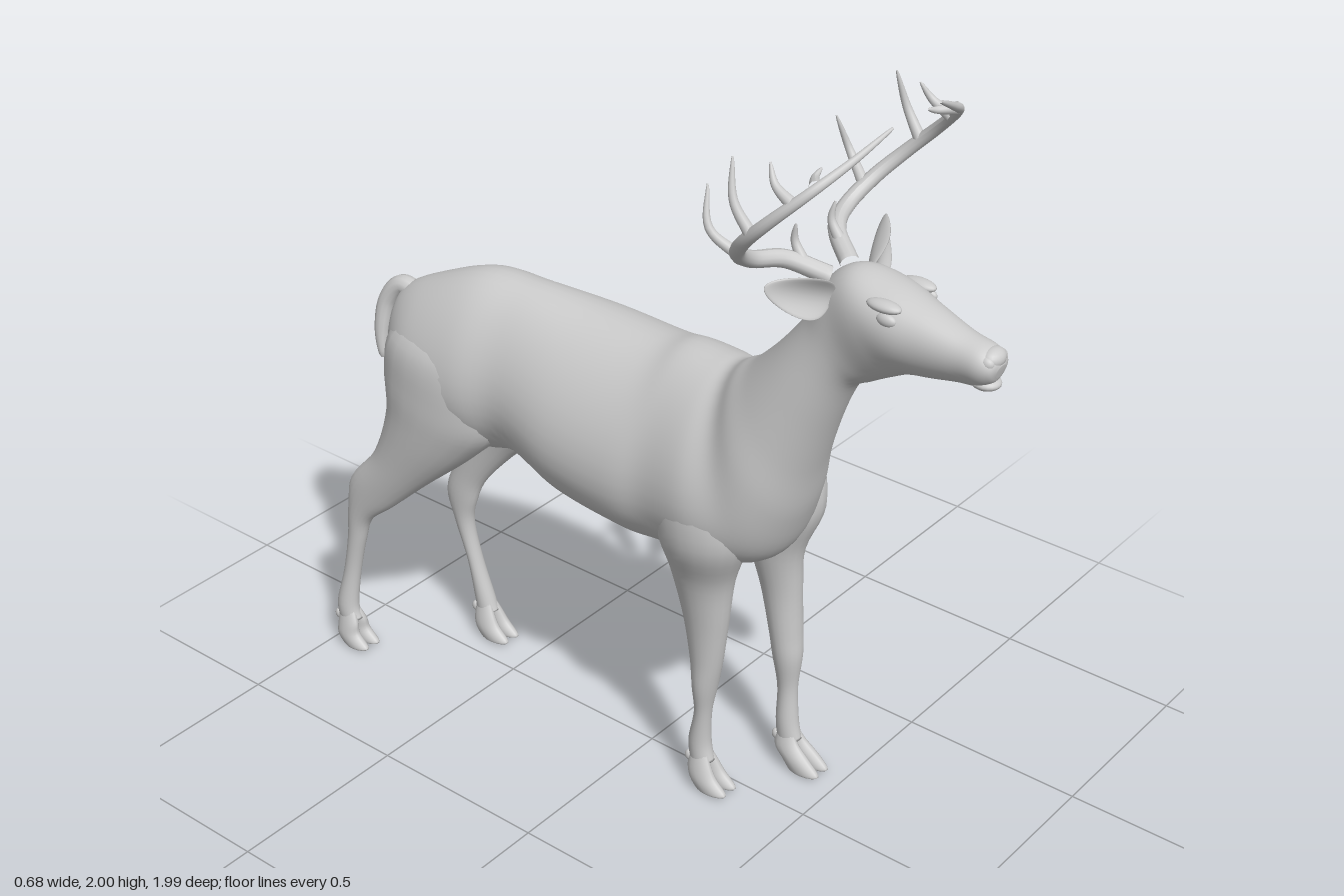
import * as THREE from 'three';

const material = new THREE.MeshStandardMaterial({ color: 0xcccccc, roughness: 0.8 });

function add(parent, name, geometry) {
  const mesh = new THREE.Mesh(geometry, material);
  mesh.name = name;
  parent.add(mesh);
  return mesh;
}

// Catmull-Rom value between rows b and c
function cubic(a, b, c, d, t) {
  return b + 0.5 * t * (c - a + t * (2 * a - 5 * b + 4 * c - d + t * (3 * (b - c) + d - a)));
}

// Smooth skin through oval sections. Each row: zA, yA, zB, yB (ends of the oval in
// the side plane), x centre, half width. egg(z) narrows the A side of the oval.
function loft(rows, { steps = 5, sides = 28, egg = () => 0 } = {}) {
  const sections = [];
  for (let i = 0; i < rows.length - 1; i++) {
    const [p, q, r, s] = [-1, 0, 1, 2].map(k => rows[Math.min(rows.length - 1, Math.max(0, i + k))]);
    for (let k = 0; k < steps; k++) sections.push(q.map((_, c) => cubic(p[c], q[c], r[c], s[c], k / steps)));
  }
  sections.push(rows[rows.length - 1]);

  const position = [], index = [];
  for (const [zA, yA, zB, yB, x, w] of sections) {
    const e = egg((zA + zB) / 2);
    for (let j = 0; j < sides; j++) {
      const a = (j / sides) * Math.PI * 2, s = Math.sin(a);
      position.push(x + w * Math.cos(a) * (1 - e * s),
        (yA + yB) / 2 + (s * (yA - yB)) / 2, (zA + zB) / 2 + (s * (zA - zB)) / 2);
    }
  }
  const last = sections.length - 1;
  for (let i = 0; i < last; i++) {
    for (let j = 0; j < sides; j++) {
      const k = (j + 1) % sides, a = i * sides, b = a + sides;
      index.push(a + j, a + k, b + k, a + j, b + k, b + j);
    }
  }
  // end caps
  for (const i of [0, last]) {
    const [zA, yA, zB, yB, x] = sections[i], centre = position.length / 3;
    position.push(x, (yA + yB) / 2, (zA + zB) / 2);
    for (let j = 0; j < sides; j++) {
      const a = i * sides + j, b = i * sides + ((j + 1) % sides);
      index.push(centre, ...(i ? [a, b] : [b, a]));
    }
  }
  const geometry = new THREE.BufferGeometry();
  geometry.setAttribute('position', new THREE.Float32BufferAttribute(position, 3));
  geometry.setIndex(index);
  geometry.computeVertexNormals();
  return geometry;
}

// Tube whose radius follows radius(t)
function taperedTube(points, radius, segments = 32) {
  const curve = new THREE.CatmullRomCurve3(points.map(p => new THREE.Vector3(...p)));
  const sides = 12, geometry = new THREE.TubeGeometry(curve, segments, 1, sides);
  const pos = geometry.attributes.position, v = new THREE.Vector3();
  for (let i = 0; i < pos.count; i++) {
    const t = Math.floor(i / (sides + 1)) / segments, c = curve.getPointAt(t);
    v.fromBufferAttribute(pos, i).sub(c).multiplyScalar(radius(t)).add(c);
    pos.setXYZ(i, v.x, v.y, v.z);
  }
  geometry.computeVertexNormals();
  return geometry;
}

function ellipsoid(parent, name, centre, size) {
  const mesh = add(parent, name, new THREE.SphereGeometry(1, 20, 14));
  mesh.position.set(...centre);
  mesh.scale.set(...size);
  return mesh;
}

// Leg skin plus a cloven hoof; toe and heel are z positions of the sole
function leg(parent, name, rows, toe, heel) {
  const group = new THREE.Group();
  group.name = name;
  parent.add(group);
  const [zF, , zR, , x, w] = rows[rows.length - 1];
  const pastern = [zF + 0.012, 0.085, zR + 0.006, 0.07, x, w * 0.95];
  add(group, 'limb', loft([...rows, pastern], { sides: 20 }));
  for (const s of [-1, 1]) {
    add(group, 'hoof', loft([
      [zF - 0.006, 0.12, zR + 0.01, 0.11, x + s * 0.008, 0.012],
      [zF + 0.014, 0.08, zR + 0.006, 0.06, x + s * 0.016, 0.019],
      [toe - 0.035, 0.045, heel - 0.025, 0.03, x + s * 0.02, 0.022],
      [toe, 0.014, heel - 0.005, 0.004, x + s * 0.021, 0.02],
      [toe - 0.01, 0.004, heel + 0.005, 0, x + s * 0.021, 0.015],
    ], { sides: 14 }));
    ellipsoid(group, 'dewclaw', [x + s * 0.015, 0.085, zR + 0.006], [0.009, 0.015, 0.011]);
  }
}

// Leaf-shaped ear, cupped towards the front
function ear(parent, side) {
  const geometry = new THREE.SphereGeometry(1, 24, 20);
  const pos = geometry.attributes.position;
  for (let i = 0; i < pos.count; i++) {
    const y = pos.getY(i), x = pos.getX(i) * (1 - 0.25 * y);
    pos.setXYZ(i, x * 0.048, y * 0.095, pos.getZ(i) * 0.012 + x * x * 0.03 - 0.015);
  }
  geometry.computeVertexNormals();
  const mesh = add(parent, side > 0 ? 'leftEar' : 'rightEar', geometry);
  mesh.position.set(side * 0.158 - 0.004, 1.583, 0.555);
  mesh.rotation.set(0, side * 0.4, side * -1.2, 'YXZ');
}

function antler(parent, side) {
  const group = new THREE.Group();
  group.name = side > 0 ? 'leftAntler' : 'rightAntler';
  parent.add(group);
  const flip = points => points.map(([x, y, z]) => [x * side, y, z]);
  add(group, 'beam', taperedTube(flip([
    [0.04, 1.58, 0.54], [0.1, 1.62, 0.46], [0.18, 1.64, 0.43], [0.26, 1.69, 0.45], [0.31, 1.75, 0.5],
    [0.322, 1.82, 0.57], [0.28, 1.9, 0.65], [0.19, 1.95, 0.69], [0.09, 2, 0.72],
  ]), t => 0.003 + 0.02 * Math.pow(1 - t, 0.6), 64));
  const tines = [
    [[0.07, 1.61, 0.49], [0.07, 1.655, 0.465], [0.075, 1.7, 0.47]],
    [[0.235, 1.67, 0.44], [0.265, 1.73, 0.375], [0.24, 1.82, 0.35]],
    [[0.32, 1.78, 0.53], [0.325, 1.85, 0.485], [0.305, 1.94, 0.465]],
    [[0.3, 1.87, 0.62], [0.295, 1.9, 0.57], [0.28, 1.94, 0.545]],
    [[0.27, 1.91, 0.655], [0.23, 1.91, 0.625], [0.2, 1.92, 0.62]],
  ];
  for (const tine of tines) add(group, 'tine', taperedTube(flip(tine), t => 0.002 + 0.013 * Math.pow(1 - t, 0.7), 14));
}

export function createModel() {
  const deer = new THREE.Group();
  deer.name = 'deer';

  // trunk, neck and head as one skin, from rump to muzzle
  const trunk = [
    [-0.84, 1.06, -0.83, 0.97, -0.03, 0.03],
    [-0.8, 1.125, -0.79, 0.87, -0.02, 0.1],
    [-0.7, 1.18, -0.7, 0.78, -0.01, 0.165],
    [-0.55, 1.235, -0.5, 0.75, 0.01, 0.195],
    [-0.4, 1.235, -0.37, 0.765, 0.025, 0.19],
    [-0.2, 1.22, -0.2, 0.71, 0.045, 0.235],
    [0, 1.215, 0, 0.685, 0.045, 0.238],
    [0.1, 1.235, 0.12, 0.69, 0.035, 0.218],
    [0.2, 1.237, 0.27, 0.705, 0.025, 0.22],
    [0.25, 1.24, 0.4, 0.76, 0.015, 0.19],
  ];
  const neckAndHead = [
    [0.29, 1.265, 0.47, 0.9, 0, 0.165],
    [0.34, 1.3, 0.51, 1.05, -0.01, 0.135],
    [0.42, 1.385, 0.56, 1.2, -0.015, 0.108],
    [0.49, 1.48, 0.61, 1.31, -0.015, 0.09],
    [0.53, 1.57, 0.66, 1.345, -0.015, 0.087],
    [0.6, 1.62, 0.72, 1.38, -0.017, 0.095],
    [0.7, 1.612, 0.77, 1.405, -0.02, 0.094],
    [0.8, 1.588, 0.83, 1.42, -0.03, 0.073],
    [0.9, 1.56, 0.9, 1.437, -0.037, 0.054],
    [0.96, 1.548, 0.955, 1.447, -0.04, 0.05],
    [0.99, 1.53, 0.982, 1.465, -0.04, 0.038],
    [0.998, 1.51, 0.99, 1.48, -0.04, 0.018],
  ];
  add(deer, 'body', loft([...trunk, ...neckAndHead], {
    steps: 6, sides: 40,
    egg: z => 0.2 * (1 - THREE.MathUtils.smoothstep(z, 0.25, 0.5)) - 0.12 * THREE.MathUtils.smoothstep(z, 0.55, 0.7),
  }));

  // face
  ellipsoid(deer, 'nosePad', [-0.04, 1.522, 0.972], [0.036, 0.024, 0.027]);
  ellipsoid(deer, 'lowerLip', [-0.04, 1.458, 0.96], [0.033, 0.016, 0.035]);
  for (const s of [-1, 1]) {
    ellipsoid(deer, 'nostril', [-0.04 + s * 0.026, 1.518, 0.972], [0.015, 0.017, 0.02]);
    ellipsoid(deer, 'eye', [-0.02 + s * 0.08, 1.557, 0.735], [0.013, 0.016, 0.026]);
    ellipsoid(deer, 'brow', [-0.02 + s * 0.068, 1.582, 0.72], [0.022, 0.014, 0.045]);
    ear(deer, s);
    antler(deer, s);
  }

  // front legs
  leg(deer, 'leftFrontLeg', [
    [0.32, 1.06, 0.22, 1.06, 0.13, 0.03], [0.4, 0.96, 0.15, 0.96, 0.14, 0.085],
    [0.42, 0.82, 0.18, 0.8, 0.145, 0.09], [0.37, 0.68, 0.21, 0.68, 0.14, 0.063],
    [0.36, 0.55, 0.245, 0.55, 0.15, 0.05], [0.362, 0.42, 0.272, 0.42, 0.155, 0.046],
    [0.365, 0.34, 0.285, 0.34, 0.155, 0.04], [0.355, 0.24, 0.3, 0.24, 0.157, 0.027],
    [0.362, 0.14, 0.3, 0.14, 0.155, 0.029],
  ], 0.45, 0.36);
  leg(deer, 'rightFrontLeg', [
    [0.3, 1.06, 0.18, 1.06, -0.09, 0.03], [0.36, 0.96, 0.1, 0.96, -0.1, 0.085],
    [0.37, 0.82, 0.12, 0.8, -0.105, 0.09], [0.32, 0.68, 0.14, 0.68, -0.083, 0.066],
    [0.3, 0.55, 0.17, 0.55, -0.075, 0.05], [0.28, 0.42, 0.19, 0.42, -0.07, 0.042],
    [0.262, 0.33, 0.197, 0.33, -0.068, 0.039], [0.245, 0.24, 0.2, 0.24, -0.066, 0.026],
    [0.24, 0.14, 0.178, 0.14, -0.06, 0.029],
  ], 0.31, 0.22);

  // hind legs, the right one set further back
  leg(deer, 'leftHindLeg', [
    [-0.5, 1.12, -0.7, 1.12, 0.09, 0.03], [-0.42, 1.02, -0.79, 1.03, 0.11, 0.085],
    [-0.37, 0.86, -0.79, 0.92, 0.122, 0.1], [-0.42, 0.75, -0.735, 0.8, 0.125, 0.085],
    [-0.55, 0.64, -0.715, 0.68, 0.108, 0.058], [-0.655, 0.52, -0.755, 0.56, 0.085, 0.036],
    [-0.69, 0.44, -0.79, 0.46, 0.076, 0.03], [-0.708, 0.36, -0.765, 0.36, 0.078, 0.026],
    [-0.69, 0.24, -0.73, 0.24, 0.085, 0.024], [-0.655, 0.12, -0.715, 0.12, 0.092, 0.028],
  ], -0.585, -0.675);
  leg(deer, 'rightHindLeg', [
    [-0.5, 1.12, -0.7, 1.12, -0.07, 0.03], [-0.42, 1.02, -0.79, 1.03, -0.1, 0.08],
    [-0.41, 0.86, -0.81, 0.92, -0.108, 0.09], [-0.5, 0.75, -0.8, 0.8, -0.12, 0.078],
    [-0.66, 0.61, -0.84, 0.66, -0.14, 0.052], [-0.78, 0.5, -0.925, 0.55, -0.157, 0.034],
    [-0.86, 0.43, -0.94, 0.45, -0.162, 0.028], [-0.89, 0.35, -0.945, 0.36, -0.165, 0.025],
    [-0.915, 0.24, -0.965, 0.24, -0.17, 0.024], [-0.925, 0.13, -0.99, 0.13, -0.18, 0.028],
  ], -0.87, -0.955);

  // tail
  add(deer, 'tail', taperedTube([
    [-0.025, 1.1, -0.76], [-0.03, 1.115, -0.82], [-0.045, 1.07, -0.86], [-0.065, 0.99, -0.87], [-0.08, 0.905, -0.86],
  ], t => 0.004 + 0.024 * Math.sqrt(1 - t * t)));

  return deer;
}
